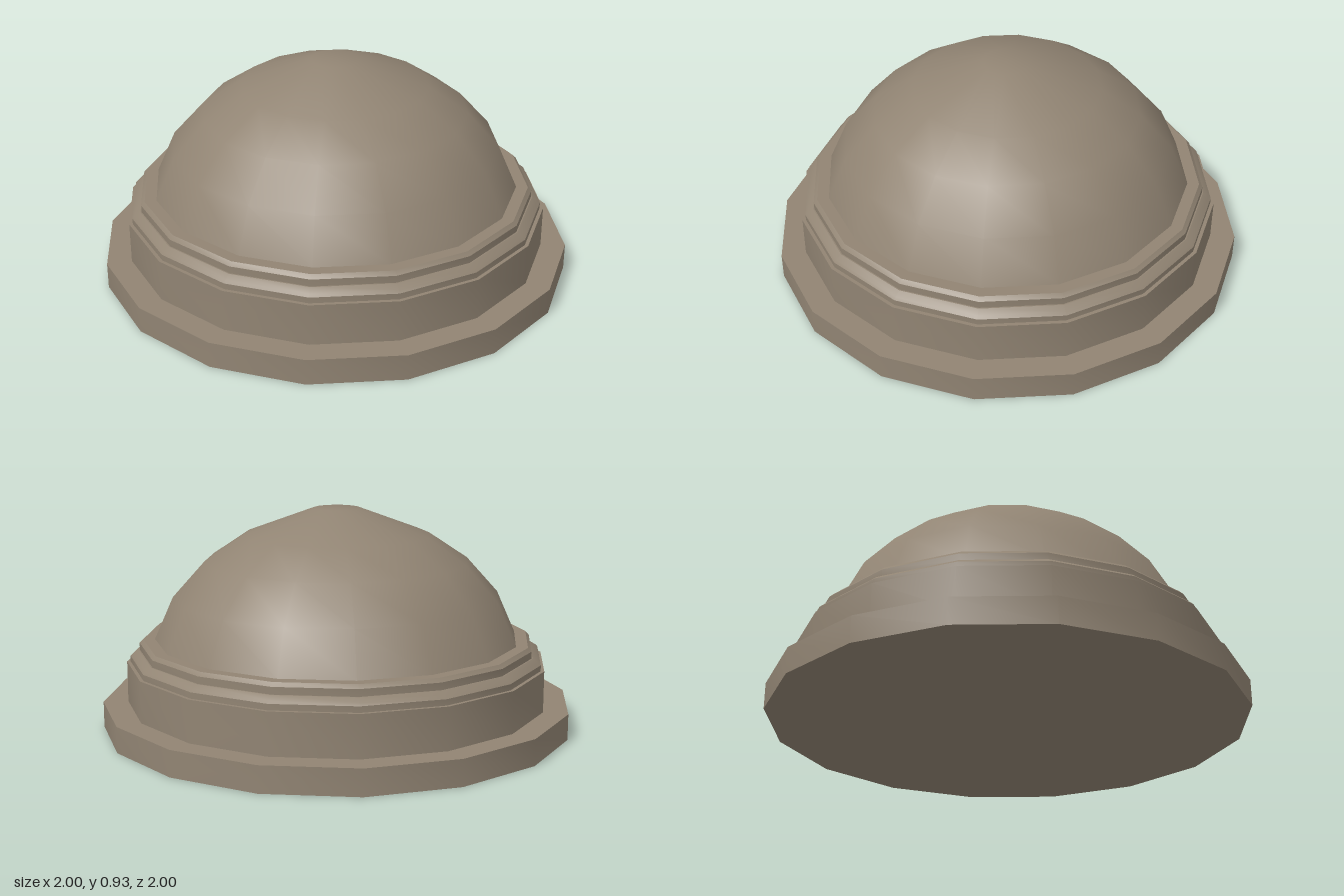
import * as THREE from 'three';
import { toCreasedNormals } from 'three/addons/utils/BufferGeometryUtils.js';

const SIDES = 16;

export function createModel() {
  const model = new THREE.Group();
  model.name = 'domedRoof';
  const stone = new THREE.MeshStandardMaterial({ color: 0x918473 });

  // Turns a profile of [radius, height] points, listed from bottom to top
  const turned = (name, profile) => {
    const points = profile.map(([r, y]) => new THREE.Vector2(r, y));
    const geometry = toCreasedNormals(new THREE.LatheGeometry(points, SIDES), 0.5);
    const mesh = new THREE.Mesh(geometry, stone);
    mesh.name = name;
    model.add(mesh);
  };

  // Wide plinth with a closed underside
  turned('plinth', [[0, 0], [1, 0], [1, 0.11], [0.895, 0.11]]);

  // Upright drum wall
  turned('drum', [[0.895, 0.11], [0.895, 0.285], [0.88, 0.285]]);

  // Stepped cornice between drum and dome
  turned('cornice', [
    [0.88, 0.285], [0.88, 0.31], [0.87, 0.32], [0.845, 0.335],
    [0.84, 0.335], [0.84, 0.365], [0.825, 0.38], [0.775, 0.38],
  ]);

  // Faceted dome with a small flat crown
  turned('dome', [
    [0.775, 0.38], [0.695, 0.56], [0.56, 0.71], [0.395, 0.82], [0.1, 0.93], [0, 0.93],
  ]);

  return model;
}
